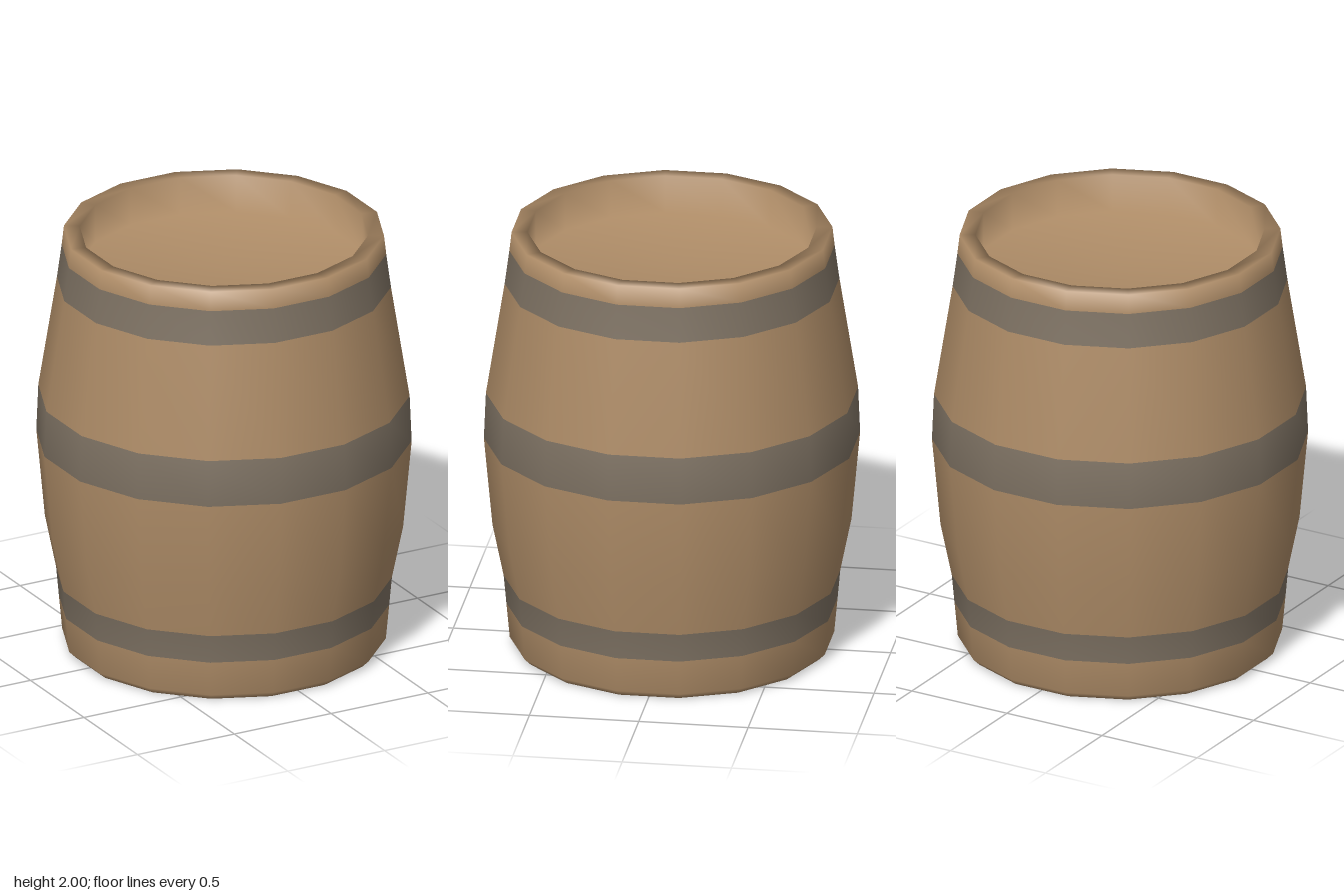
import * as THREE from 'three';

const SIDES = 16;

export function createModel() {
  const barrel = new THREE.Group();
  barrel.name = 'barrel';

  // Profile as [flat-to-centre radius, height]: base, staves, rim, sunken lid
  const profile = [
    [0, 0], [0.69, 0], [0.72, 0.03], [0.735, 0.195], [0.747, 0.33],
    [0.797, 0.58], [0.835, 1.0], [0.826, 1.22], [0.743, 1.75],
    [0.722, 1.91], [0.712, 2], [0.642, 2], [0.642, 1.82], [0, 1.82],
  ];
  const hoopRows = { lowerHoop: 3, middleHoop: 6, upperHoop: 8 };

  // Flat sides face the axes, so corners lie half a step around
  const toCorner = 1 / Math.cos(Math.PI / SIDES);
  const points = profile.map(([r, y]) => new THREE.Vector2(r * toCorner, y));
  const shell = new THREE.LatheGeometry(points, SIDES, Math.PI / SIDES);

  // Parts take chosen rows of the shell and keep its smooth normals
  const rowCount = profile.length - 1;
  const addPart = (name, material, keepRow) => {
    const geometry = shell.clone();
    const index = Array.from(shell.index.array);
    geometry.setIndex(index.filter((_, i) => keepRow(Math.floor(i / 6) % rowCount)));
    const mesh = new THREE.Mesh(geometry, material);
    mesh.name = name;
    barrel.add(mesh);
  };

  const wood = new THREE.MeshStandardMaterial({ color: 0xae8c67 });
  const iron = new THREE.MeshStandardMaterial({ color: 0x7e7263 });

  const hoops = Object.values(hoopRows);
  addPart('woodenBody', wood, (row) => !hoops.includes(row));
  for (const [name, hoopRow] of Object.entries(hoopRows)) {
    addPart(name, iron, (row) => row === hoopRow);
  }

  return barrel;
}
